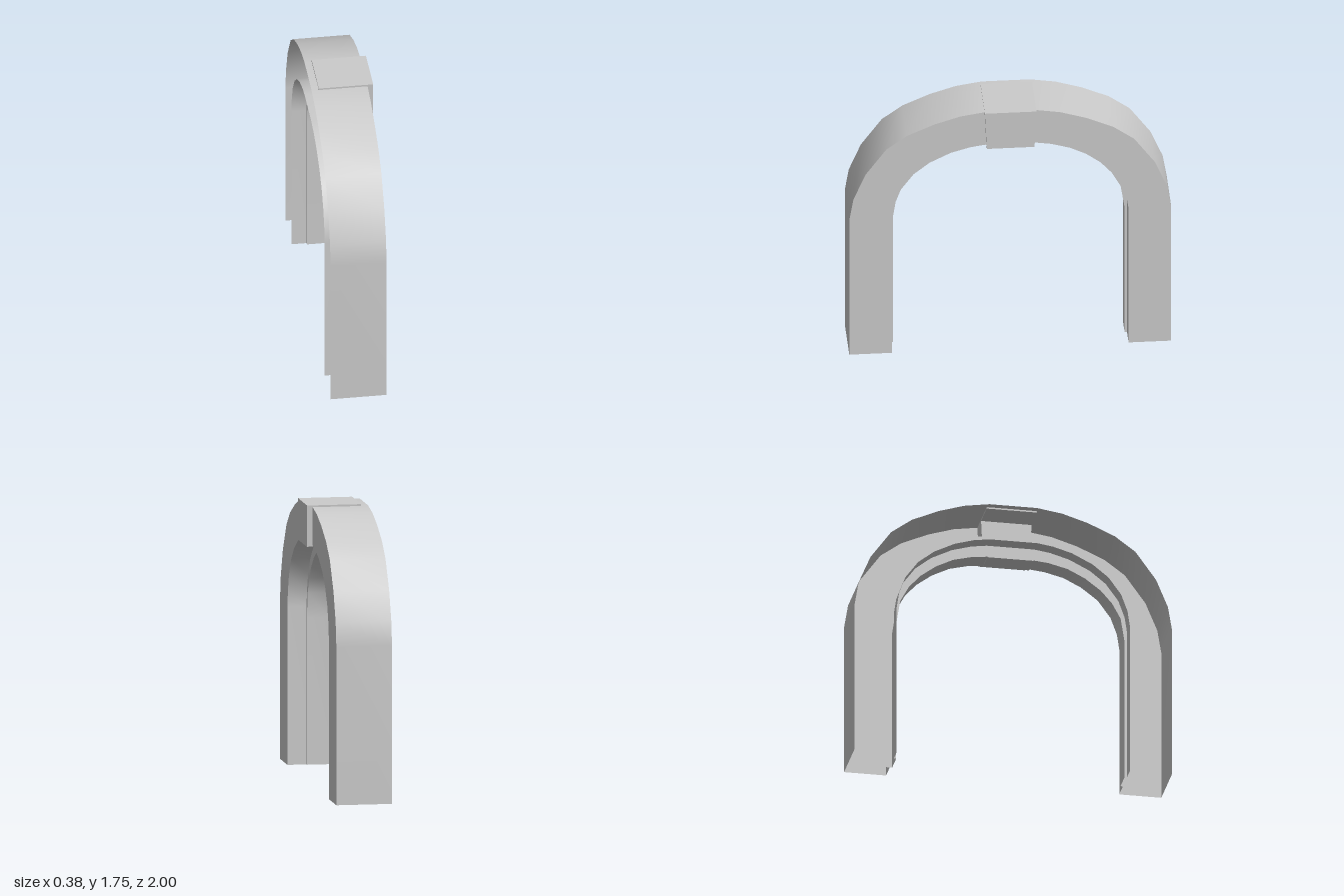
import * as THREE from 'three';

const material = new THREE.MeshStandardMaterial({ color: 0xcccccc, side: THREE.DoubleSide });

// Half curves as [z, y], from the foot to the crown; mirrored into full arches.
const arch = (half) => [...half, ...half.slice().reverse().map(([z, y]) => [-z, y])];
const outer = arch([[1, 0], [1, 0.99], [0.975, 1.14], [0.9, 1.32], [0.77, 1.5],
  [0.64, 1.595], [0.47, 1.67], [0.31, 1.72], [0.15, 1.745]]);
const inner = arch([[0.735, 0], [0.735, 0.99], [0.72, 1.09], [0.68, 1.2], [0.6, 1.31],
  [0.5, 1.39], [0.37, 1.455], [0.25, 1.49], [0.15, 1.505]]);
const lip = arch([[0.72, 0], [0.72, 0.92], [0.695, 1.08], [0.64, 1.18], [0.57, 1.26],
  [0.47, 1.335], [0.36, 1.39], [0.24, 1.42], [0.145, 1.43]]);
const rib = arch([[0.89, 0], [0.89, 0.99], [0.87, 1.11], [0.8, 1.27], [0.69, 1.42],
  [0.57, 1.5], [0.42, 1.57], [0.28, 1.61], [0.15, 1.63]]);

// Surface between two arch curves, each placed at its own x.
function strip(name, curveA, xA, curveB, xB) {
  const pos = [], index = [];
  curveA.forEach(([z, y], i) => {
    pos.push(xA, y, z, xB, curveB[i][1], curveB[i][0]);
    if (i < curveA.length - 1) {
      const a = i * 2;
      index.push(a, a + 1, a + 2, a + 1, a + 3, a + 2);
    }
  });
  const geo = new THREE.BufferGeometry();
  geo.setAttribute('position', new THREE.Float32BufferAttribute(pos, 3));
  geo.setIndex(index);
  geo.computeVertexNormals();
  const mesh = new THREE.Mesh(geo, material);
  mesh.name = name;
  return mesh;
}

// Block with a tapered outline in z and y, extruded along x.
function wedge(name, x0, x1, y0, y1, half0, half1) {
  const shape = new THREE.Shape([[-half0, y0], [half0, y0], [half1, y1], [-half1, y1]]
    .map(([z, y]) => new THREE.Vector2(z, y)));
  const geo = new THREE.ExtrudeGeometry(shape, { depth: x1 - x0, bevelEnabled: false });
  geo.rotateY(Math.PI / 2).translate(x0, 0, 0);
  const mesh = new THREE.Mesh(geo, material);
  mesh.name = name;
  return mesh;
}

export function createModel() {
  const group = new THREE.Group();
  group.name = 'archway';
  const left = 0.155, right = -0.195, lipLeft = 0.035, lipRight = -0.1;

  // Hollow arch, open at the feet and on its right side
  group.add(
    strip('outerArch', outer, right, outer, left),
    strip('archFace', outer, left, inner, left),
    strip('innerArchLeft', inner, left, inner, lipLeft),
    strip('lipRib', rib, lipLeft, lip, lipLeft),
    strip('lipSoffit', lip, lipLeft, lip, lipRight),
    strip('lipStep', lip, lipRight, inner, lipRight),
    strip('innerArchRight', inner, lipRight, inner, right),
  );

  // Keystone wrapped over the crown
  const keystone = new THREE.Group();
  keystone.name = 'keystone';
  keystone.add(
    wedge('keystoneFace', lipLeft, 0.19, 1.495, 1.755, 0.148, 0.16),
    wedge('keystoneTop', -0.15, lipLeft, 1.735, 1.755, 0.159, 0.16),
    wedge('keystoneFoot', lipRight, 0.042, 1.427, 1.505, 0.145, 0.148),
  );
  group.add(keystone);
  return group;
}
